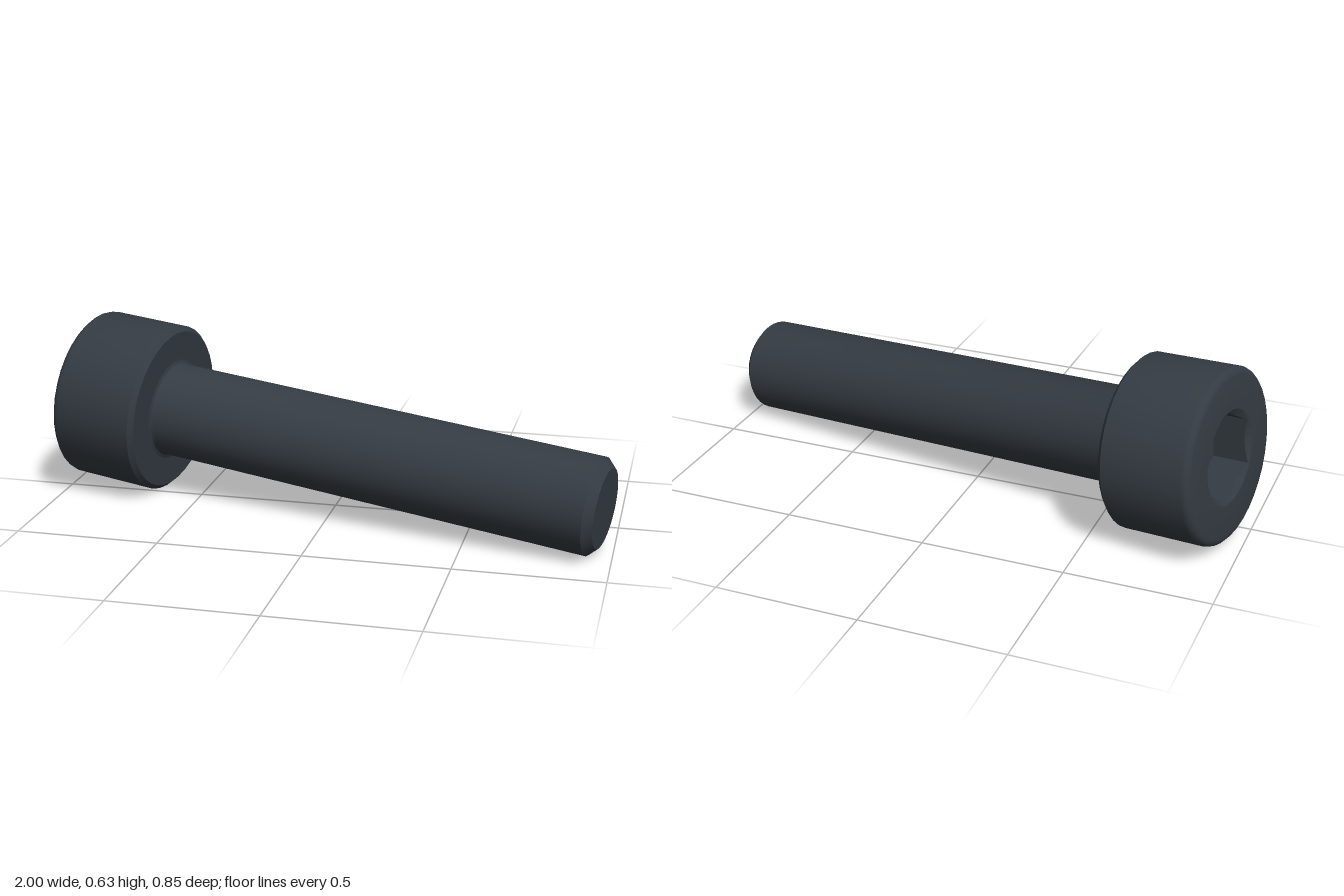
import * as THREE from 'three';
import { toCreasedNormals } from 'three/addons/utils/BufferGeometryUtils.js';

const SEGMENTS = 36;
const HEAD_HEIGHT = 0.33, HEAD_R = 0.302, SHANK_R = 0.167, LENGTH = 1.955;
const SOCKET_R = 0.163, HEX_R = 0.159, SOCKET_DEPTH = 0.13;

// turned part from a profile of [radius, height] pairs, listed tip to head
function lathe(profile) {
  return new THREE.LatheGeometry(profile.map(([r, y]) => new THREE.Vector2(r, y)), SEGMENTS);
}

// quarter-round profile from the head's side to its top face
function roundedEdge(radius, steps = 3) {
  return Array.from({ length: steps + 1 }, (_, i) => {
    const a = (i / steps) * Math.PI / 2;
    return [HEAD_R - radius + radius * Math.cos(a), -radius + radius * Math.sin(a)];
  });
}

// countersunk hexagonal recess: a turned cup whose wall rings are pulled onto a hexagon
function socketGeometry() {
  const profile = [[SOCKET_R, 0], [HEX_R, -0.01], [HEX_R, -SOCKET_DEPTH], [0, -SOCKET_DEPTH]];
  const geometry = lathe(profile);
  const position = geometry.attributes.position;
  for (let i = 0; i <= SEGMENTS; i++) {
    const angle = (i / SEGMENTS) * Math.PI * 2;
    const fromFlat = (angle % (Math.PI / 3)) - Math.PI / 6;
    const r = HEX_R * Math.cos(Math.PI / 6) / Math.cos(fromFlat);
    const x = r * Math.sin(angle), z = r * Math.cos(angle);
    const base = i * profile.length;
    position.setXYZ(base + 1, x, -(SOCKET_R - r) * 0.58, z);
    position.setXYZ(base + 2, x, -SOCKET_DEPTH, z);
  }
  return geometry;
}

export function createModel() {
  const steel = new THREE.MeshStandardMaterial({ color: 0x343b42 });
  steel.name = 'blackened steel';

  const model = new THREE.Group();
  model.name = 'socketHeadBolt';
  const add = (name, geometry) => {
    const mesh = new THREE.Mesh(toCreasedNormals(geometry, 0.6), steel);
    mesh.name = name;
    model.add(mesh);
  };

  // shank with chamfered tip and a small fillet under the head
  add('shank', lathe([
    [0, -LENGTH], [0.137, -LENGTH], [SHANK_R, -LENGTH + 0.03],
    [SHANK_R, -HEAD_HEIGHT - 0.015], [SHANK_R + 0.004, -HEAD_HEIGHT - 0.004], [SHANK_R + 0.015, -HEAD_HEIGHT],
  ]));

  // head with chamfered underside and rounded top edge
  add('head', lathe([
    [SHANK_R + 0.015, -HEAD_HEIGHT], [HEAD_R - 0.016, -HEAD_HEIGHT], [HEAD_R, -HEAD_HEIGHT + 0.016],
    ...roundedEdge(0.025), [SOCKET_R, 0],
  ]));

  add('hexSocket', socketGeometry());

  // lay the bolt down so it rests on its head rim and tip
  const axis = new THREE.Vector3(-0.9754, 0.083, -0.204).normalize();
  const up = new THREE.Vector3(0, 1, 0);
  up.addScaledVector(axis, -up.dot(axis)).normalize();
  const side = new THREE.Vector3().crossVectors(axis, up);
  model.quaternion.setFromRotationMatrix(new THREE.Matrix4().makeBasis(side, axis, up));
  model.position.set(-0.938, 0.327, -0.129);

  const root = new THREE.Group();
  root.name = 'bolt';
  root.add(model);
  return root;
}
